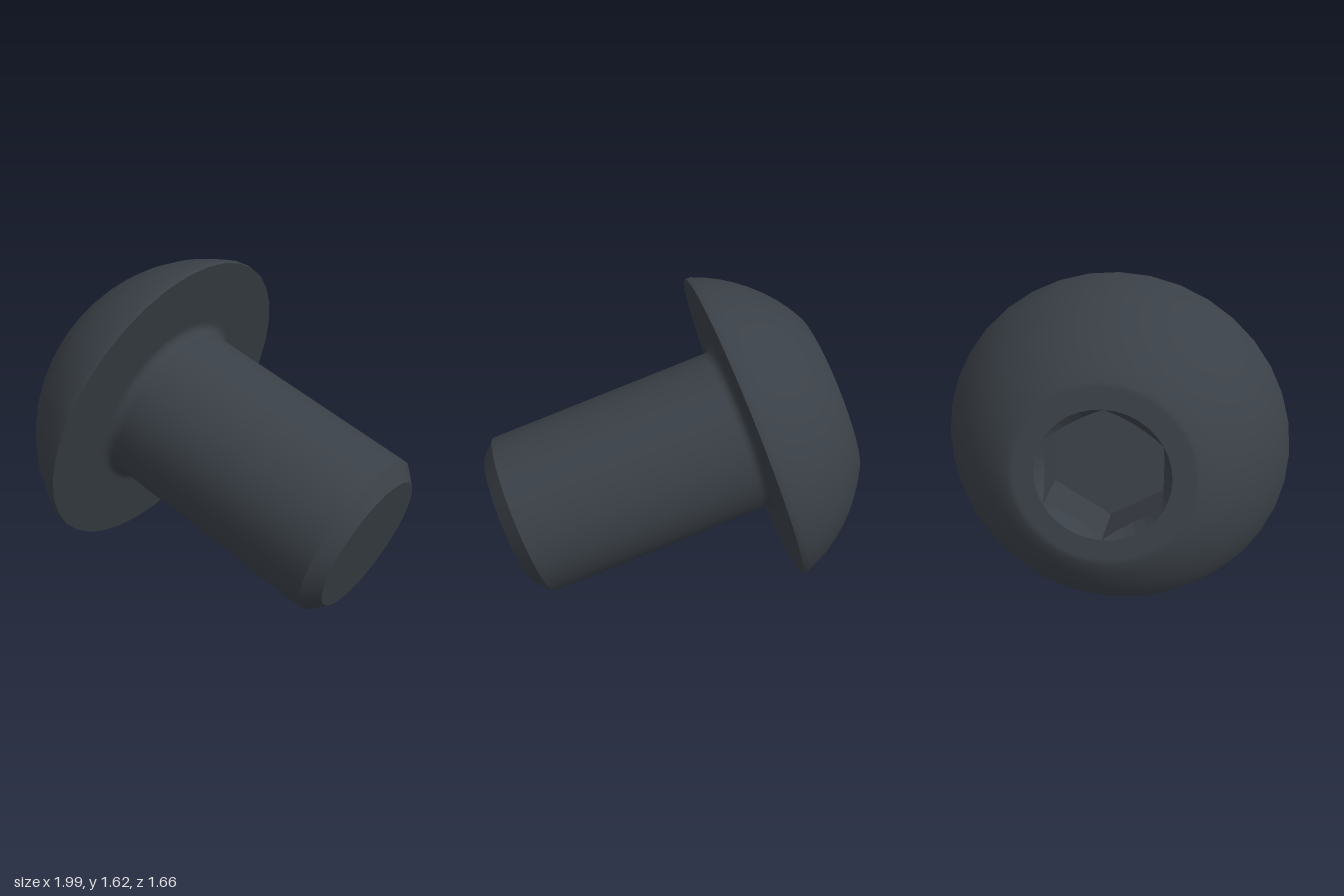
import * as THREE from 'three';

const SEG = 36;
const L = 1.335, SHAFT_R = 0.443, CHAMFER = 0.077, FILLET = 0.05;
const HEAD_R = 0.845, HEAD_H = 0.487, LAND = 0.03, FLAT_R = 0.45;
const SOCKET_R = 0.32, SOCKET_DEPTH = 0.30;

const steel = new THREE.MeshStandardMaterial({ color: 0x3a4047 });
steel.name = 'dark steel';

function lathe(name, points) {
  const geo = new THREE.LatheGeometry(points.map(([r, y]) => new THREE.Vector2(r, y)), SEG);
  const mesh = new THREE.Mesh(geo, steel);
  mesh.name = name;
  return mesh;
}

// Hexagonal recess with a small conical lead-in that meets the flat walls in arcs
function socket() {
  const pos = [], idx = [];
  const apothem = SOCKET_R * Math.cos(Math.PI / 6);
  const side = Math.PI / 3;
  const hexR = a => apothem / Math.cos((a % side) - side / 2);
  const rings = [
    () => [SOCKET_R, HEAD_H],
    a => [hexR(a), HEAD_H - 0.002 - (SOCKET_R - hexR(a)) * 1.1],
    a => [hexR(a), HEAD_H - SOCKET_DEPTH],
    () => [0, HEAD_H - SOCKET_DEPTH],
  ];
  rings.forEach(ring => {
    for (let i = 0; i < SEG; i++) {
      const a = (i / SEG) * Math.PI * 2;
      const [r, y] = ring(a + 1e-9);
      pos.push(r * Math.cos(a), y, -r * Math.sin(a));
    }
  });
  for (let k = 0; k < rings.length - 1; k++) {
    for (let i = 0; i < SEG; i++) {
      const j = (i + 1) % SEG;
      const a = k * SEG + i, b = k * SEG + j, c = b + SEG, d = a + SEG;
      idx.push(a, b, c);
      if (k < rings.length - 2) idx.push(a, c, d);
    }
  }
  let geo = new THREE.BufferGeometry();
  geo.setAttribute('position', new THREE.Float32BufferAttribute(pos, 3));
  geo.setIndex(idx);
  geo = geo.toNonIndexed();
  geo.computeVertexNormals();
  const mesh = new THREE.Mesh(geo, steel);
  mesh.name = 'hexSocket';
  return mesh;
}

export function createModel() {
  const bolt = new THREE.Group();
  bolt.name = 'bolt';
  const tipR = SHAFT_R - CHAMFER, shoulder = -L + CHAMFER;

  // Shaft end and its chamfer
  bolt.add(lathe('shaftEnd', [[0, -L], [tipR, -L]]));
  bolt.add(lathe('shaftChamfer', [[tipR, -L], [SHAFT_R, shoulder]]));

  // Shaft, fillet and head underside in one smooth sweep
  const body = [[SHAFT_R, shoulder], [SHAFT_R, -FILLET - 0.01]];
  for (let i = 0; i <= 5; i++) {
    const a = (i / 5) * Math.PI / 2;
    body.push([SHAFT_R + FILLET * (1 - Math.cos(a)), -FILLET * (1 - Math.sin(a))]);
  }
  body.push([SHAFT_R + FILLET + 0.01, 0], [HEAD_R, 0]);
  bolt.add(lathe('shaftAndUnderside', body));

  // Domed head: narrow land, bulging side and flat crown
  const dome = [[HEAD_R, 0], [HEAD_R, LAND]];
  const dr = FLAT_R - HEAD_R, dy = HEAD_H - LAND, len = Math.hypot(dr, dy);
  for (let i = 1; i <= 8; i++) {
    const t = i / 8, sag = 0.055 * 4 * t * (1 - t);
    dome.push([HEAD_R + dr * t + sag * dy / len, LAND + dy * t - sag * dr / len]);
  }
  dome.push([FLAT_R - 0.03, HEAD_H], [SOCKET_R, HEAD_H]);
  bolt.add(lathe('domedHead', dome));
  bolt.add(socket());

  // Tilt: local y runs out through the head, local x points at a socket corner
  const up = new THREE.Vector3(-0.934, 0.301, -0.194).normalize();
  const corner = new THREE.Vector3(-0.317, -0.451, 0.835);
  corner.addScaledVector(up, -corner.dot(up)).normalize();
  const third = new THREE.Vector3().crossVectors(corner, up);
  bolt.quaternion.setFromRotationMatrix(new THREE.Matrix4().makeBasis(corner, up, third));
  bolt.position.set(-0.38, 0.81, 0);

  const model = new THREE.Group();
  model.name = 'buttonHeadBolt';
  model.add(bolt);
  return model;
}
